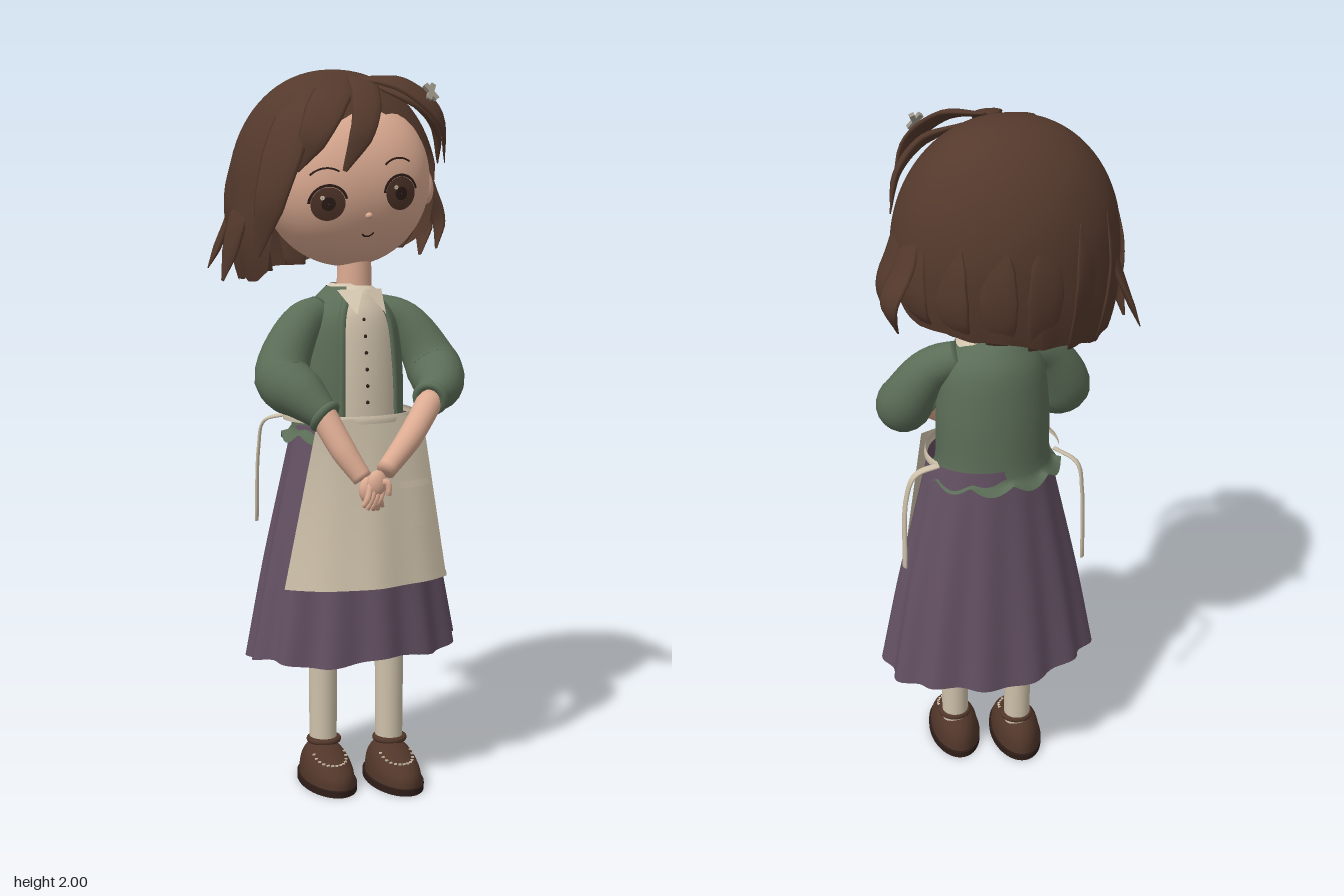
import * as THREE from 'three';
import { mergeVertices } from 'three/addons/utils/BufferGeometryUtils.js';

const mat = (name, color) => new THREE.MeshStandardMaterial({ name, color, side: THREE.DoubleSide });
const V = (p) => new THREE.Vector3(...p);
const { sin, cos, PI, sqrt, abs, min, max } = Math;
const lerp = THREE.MathUtils.lerp;

// Smooth surface from a rule f(u, v) -> [x, y, z]
function grid(f, nu, nv) {
  const pos = [], idx = [];
  for (let j = 0; j <= nv; j++) for (let i = 0; i <= nu; i++) pos.push(...f(i / nu, j / nv));
  for (let j = 0; j < nv; j++) for (let i = 0; i < nu; i++) {
    const a = j * (nu + 1) + i, b = a + nu + 1;
    idx.push(a, b, a + 1, b, b + 1, a + 1);
  }
  let g = new THREE.BufferGeometry();
  g.setAttribute('position', new THREE.Float32BufferAttribute(pos, 3));
  g.setIndex(idx);
  g = mergeVertices(g, 1e-5);
  g.computeVertexNormals();
  return g;
}

// Elliptical rings through rows [rx, y, rz], between two angles measured from the front
function loft(rows, cx, cz, a0 = -PI, a1 = PI, nu = 48, nv = 16, warp = () => [1, 0]) {
  const curve = new THREE.CatmullRomCurve3(rows.map(V));
  return grid((u, v) => {
    const a = lerp(a0, a1, u), p = curve.getPoint(v), [k, dy] = warp(a, v);
    return [cx + p.x * k * sin(a), p.y + dy, cz + p.z * k * cos(a)];
  }, nu, nv);
}

// Capped tube of varying width along a curve; flat < 1 makes a ribbon facing away from the centre
function tube(points, widths, flat = 1, centre = [0, 1.2, -0.05], nu = 12, nv = 18) {
  const curve = new THREE.CatmullRomCurve3(points.map(V)), c = V(centre);
  return grid((u, v) => {
    const t = min(1, max(0, (v * nv - 1) / (nv - 2)));
    const p = curve.getPoint(t), d = curve.getTangent(t);
    const out = p.clone().sub(c);
    out.addScaledVector(d, -out.dot(d)).normalize();
    const side = out.clone().cross(d);
    const k = t * (widths.length - 1), i = min(widths.length - 2, k | 0);
    const w = v === 0 || v === 1 ? 0 : lerp(widths[i], widths[i + 1], k - i), a = u * 2 * PI;
    return p.addScaledVector(out, w * flat * cos(a)).addScaledVector(side, w * sin(a)).toArray();
  }, nu, nv);
}

export function createModel() {
  const hair = mat('hair brown', 0x54392c), skin = mat('skin', 0xdcab92), green = mat('cardigan green', 0x5b6d57),
    purple = mat('skirt purple', 0x635062), cream = mat('apron cream', 0xcec1aa), ivory = mat('blouse ivory', 0xd4c6af),
    brown = mat('shoe brown', 0x51362a), dark = mat('dark brown', 0x2e1d18), grey = mat('pin grey', 0x9a9488);
  const root = new THREE.Group();
  const add = (name, geo, m, parent = root) => {
    const mesh = new THREE.Mesh(geo, m);
    mesh.name = name;
    parent.add(mesh);
    return mesh;
  };
  const ball = (x, y, z) => new THREE.SphereGeometry(1, 32, 24).scale(x, y, z);

  // Head, tilted and turned a little, with a broad front
  const head = new THREE.Group();
  head.name = 'head';
  head.position.set(0.006, 1.705, -0.045);
  head.rotation.set(0, -0.2, 0.14);
  root.add(head);
  const F = [0.228, 0.24, 0.208], P = 2.6;
  add('face', grid((u, v) => {
    const a = lerp(-PI, PI, u), t = v * PI, s = sin(a), c = cos(a);
    const r = sin(t) * (abs(s) ** P + abs(c) ** P) ** (-1 / P);
    return [F[0] * r * s, F[1] * cos(t), F[2] * r * c];
  }, 56, 32), skin, head);
  const decal = (name, ring, x, y, off, m) => {
    const g = new THREE.RingGeometry(...ring).translate(x, y, 0), p = g.attributes.position;
    for (let i = 0; i < p.count; i++) {
      const r = sqrt(1 - (p.getY(i) / F[1]) ** 2);
      p.setZ(i, F[2] * (r ** P - abs(p.getX(i) / F[0]) ** P) ** (1 / P) + off);
    }
    g.computeVertexNormals();
    add(name, g, m, head);
  };
  for (const s of [-1, 1]) {
    const x = s * 0.101 - 0.01, y = -0.054;
    decal('iris', [0.001, 0.044, 28, 4], x, y, 0.003, brown);
    decal('pupil', [0.001, 0.018, 24, 3], x, y, 0.005, dark);
    decal('eyeGlint', [0.001, 0.006, 12, 1], x - 0.015, y + 0.018, 0.007, ivory);
    decal('upperLash', [0.045, 0.052, 20, 1, 0.05 * PI, 0.9 * PI], x, y, 0.004, dark);
    decal('eyebrow', [0.056, 0.061, 14, 1, 0.28 * PI, 0.44 * PI], x, y + 0.035, 0.003, dark);
    add('ear', ball(0.024, 0.052, 0.036), skin, head).position.set(s * 0.226, -0.05, 0.01);
  }
  decal('mouth', [0.018, 0.022, 12, 1, 1.2 * PI, 0.6 * PI], -0.006, -0.135, 0.003, dark);
  add('nose', ball(0.01, 0.009, 0.011), skin, head).position.set(-0.004, -0.1, 0.19);
  add('neck', new THREE.CylinderGeometry(0.046, 0.05, 0.18, 24), skin).position.set(0.024, 1.44, -0.02);

  // Bobbed hair: a cap whose lower edge rises around the face and is shorter on the left
  const edge = [[-3.15, 1.46], [-2.4, 1.43], [-1.3, 1.43], [-1.08, 1.46], [-0.86, 1.71], [-0.5, 1.83], [0, 1.9],
    [0.5, 1.84], [1, 1.76], [1.32, 1.72], [1.45, 1.55], [1.9, 1.51], [2.6, 1.49], [3.15, 1.46]];
  const edgeY = (a) => {
    const i = max(1, edge.findIndex((e) => e[0] >= a)), [p, q] = [edge[i - 1], edge[i]];
    return lerp(p[1], q[1], (a - p[0]) / (q[0] - p[0]));
  };
  add('hairCap', grid((u, v) => {
    const a = lerp(-PI, PI, u), y = edgeY(a) + (abs(a) > 1.5 ? 0.01 * abs(sin(5 * a)) : 0);
    const end = y > 1.67 ? Math.acos((y - 1.67) / 0.33) : PI / 2 + (1.67 - y) / 0.33;
    const t = v * end, low = max(0, t - PI / 2);
    const r = (low ? 1 - 0.2 * (low / 0.85) ** 2.5 : sin(t) ** 0.93) * (1 + 0.014 * low * cos(18 * a));
    return [-0.008 - 0.02 * low + 0.302 * r * sin(a), low ? 1.67 - 0.33 * low : 1.67 + 0.33 * cos(t), -0.078 + 0.242 * r * cos(a)];
  }, 132, 30), hair);
  const hc = [0, 1.7, -0.08];
  const locks = [
    [0.04, [-0.02, 1.97, 0.05], [-0.05, 1.93, 0.17], [-0.09, 1.83, 0.235], [-0.135, 1.72, 0.215]],
    [0.052, [-0.05, 1.96, 0.05], [-0.14, 1.91, 0.15], [-0.205, 1.82, 0.19], [-0.24, 1.72, 0.15]],
    [0.058, [-0.15, 1.93, 0.05], [-0.24, 1.83, 0.12], [-0.305, 1.67, 0.14], [-0.325, 1.5, 0.09]],
    [0.045, [0, 1.97, 0.05], [0.08, 1.95, 0.14], [0.17, 1.87, 0.18], [0.235, 1.75, 0.11]],
    [0.05, [0.06, 1.95, 0.05], [0.16, 1.91, 0.08], [0.235, 1.84, 0.06], [0.268, 1.75, 0.02]],
    [0.04, [0.26, 1.8, -0.09], [0.295, 1.68, -0.07], [0.325, 1.59, -0.06], [0.31, 1.51, -0.05]],
    [0.045, [0.25, 1.78, -0.14], [0.295, 1.66, -0.15], [0.335, 1.58, -0.16], [0.305, 1.49, -0.13]],
    [0.045, [-0.27, 1.72, -0.06], [-0.31, 1.58, -0.07], [-0.335, 1.43, -0.11]],
    [0.045, [-0.23, 1.72, -0.19], [-0.28, 1.57, -0.21], [-0.315, 1.46, -0.25]],
  ];
  for (const [w, ...pts] of locks) add('hairLock', tube(pts, [w * 0.4, w, w, w * 0.75, 0.006], 0.25, hc), hair);
  for (let i = 0; i < 7; i++) { // shallow locks down the back
    const a = 1.95 + i * 0.41, low = edgeY(a > PI ? a - 2 * PI : a) + 0.004;
    const at = (y, k) => [-0.01 + 0.302 * k * sin(a), y, -0.078 + 0.242 * k * cos(a)];
    add('backLock', tube([at(1.78, 0.93), at(1.66, 0.995), at(1.56, 0.97), at(low, 0.87)],
      [0.015, 0.042, 0.05, 0.044, 0.034], 0.16, hc), hair);
  }
  // Hairpin
  for (const r of [-0.5, 0.6]) {
    const pin = add('hairpin', new THREE.BoxGeometry(0.014, 0.05, 0.012), grey);
    pin.position.set(0.145, 1.93, 0.18);
    pin.rotation.set(-0.4, 0, r);
  }

  // Blouse with buttons
  const body = [[0.05, 1.42, 0.05], [0.085, 1.385, 0.08], [0.125, 1.33, 0.108], [0.145, 1.2, 0.124], [0.152, 1.03, 0.13]];
  add('blouse', loft(body, 0.01, -0.03), ivory);
  for (let i = 0; i < 6; i++)
    add('button', ball(0.005, 0.005, 0.005), dark).position.set(0, 1.1 + i * 0.045, 0.1 - 0.0009 * i * i);
  // Cardigan, open at the front with a scalloped hem
  const knit = body.map(([x, y, z]) => [x + 0.012, y - 0.008, z + 0.012]).concat([[0.182, 0.985, 0.152]]);
  add('cardigan', loft(knit, 0.01, -0.03, 0.56, 2 * PI - 0.56, 100, 24, (a, v) => {
    const t = max(0, v - 0.8) / 0.2;
    return [1 + 0.07 * t * min(1, 1 - cos(a)), 0.028 * t * (1 - abs(sin(5 * a)))];
  }), green);
  for (const s of [-1, 1])
    add('cardiganEdge', tube([[0.01 + s * 0.087, 1.04, 0.092], [0.01 + s * 0.083, 1.2, 0.086],
      [0.01 + s * 0.072, 1.33, 0.07], [0.01 + s * 0.05, 1.38, 0.05]], [0.01, 0.01], 0.6, [0, 1.2, -0.1], 8), green);
  // Collar
  add('collar', loft([[0.053, 1.415, 0.053], [0.072, 1.4, 0.072], [0.09, 1.377, 0.085]], 0.018, -0.025, -PI, PI, 40, 6), ivory);
  for (const s of [-1, 1]) add('collarPoint', grid((u, v) =>
    [0.012 + s * lerp(lerp(0.003, 0.07, u), 0.045, v), lerp(1.405, 1.34, v), lerp(lerp(0.055, 0.03, u), 0.1, v)], 4, 6), ivory);

  // Skirt with soft folds
  add('skirt', loft([[0.17, 1.05, 0.142], [0.2, 0.92, 0.155], [0.262, 0.65, 0.184], [0.312, 0.385, 0.212]], 0.022, -0.027,
    -PI, PI, 132, 22, (a, v) => [1 + 0.038 * v * cos(13 * a + 0.6), 0.008 * v * v * cos(5 * a) + 0.006 * v * cos(a)]), purple);
  // Apron, swept back on its right side, with pocket, waistband and ties
  const apronAt = (u, v, off) => [lerp(0.01, -0.018, v) + u * lerp(0.165, 0.236, v), 1.06 - 0.455 * v,
    -0.025 + off + lerp(0.152, 0.234, v) * sqrt(1 - (0.58 * u) ** 2) + 0.003 * v * cos(9 * u) - 0.07 * v * max(0, -u) ** 2];
  const patch = (u0, u1, v0, v1, off) => grid((u, v) => apronAt(lerp(u0, u1, u), lerp(v0, v1, v), off), 20, 14);
  add('apron', patch(-1, 1, 0, 1, 0), cream);
  add('apronHem', patch(-1, 1, 0.965, 1, 0.004), cream);
  add('pocket', patch(0.33, 0.86, 0.38, 0.66, 0.009), cream);
  add('pocketHem', patch(0.32, 0.87, 0.385, 0.425, 0.014), ivory);
  add('waistband', loft([[0.186, 1.066, 0.16], [0.19, 1.056, 0.164], [0.19, 1.045, 0.164]], 0.012, -0.03, -1.9, 1.9, 48, 3), cream);
  const ties = [[[0.185, 1.055, -0.08], [0.25, 1.035, -0.075], [0.275, 0.95, -0.06], [0.28, 0.73, -0.05]],
    [[-0.145, 1.055, -0.1], [-0.19, 1.03, -0.16], [-0.2, 0.95, -0.175], [-0.2, 0.74, -0.19]]];
  for (const t of ties) add('apronTie', tube(t, [0.01, 0.01, 0.011], 0.45, [0, 0.9, 0], 8), cream);

  // Puffed sleeves, cuffs, forearms and clasped hands
  const arms = [
    { sleeve: [[0.1, 1.345, -0.03], [0.175, 1.305, 0.005], [0.23, 1.185, 0.065], [0.2, 1.14, 0.145], [0.135, 1.115, 0.205]],
      arm: [[0.15, 1.115, 0.19], [0.04, 1.02, 0.255], [-0.05, 0.94, 0.28]], hand: [-0.075, 0.91, 0.282], tip: [-0.1, 0.84, 0.285] },
    { sleeve: [[-0.08, 1.345, -0.03], [-0.155, 1.305, -0.005], [-0.226, 1.175, 0.035], [-0.2, 1.13, 0.1], [-0.165, 1.08, 0.16]],
      arm: [[-0.17, 1.09, 0.15], [-0.135, 0.99, 0.21], [-0.1, 0.92, 0.25]], hand: [-0.085, 0.89, 0.255], tip: [-0.06, 0.83, 0.25] },
  ];
  for (const { sleeve, arm, hand, tip } of arms) {
    add('sleeve', tube(sleeve, [0.045, 0.053, 0.058, 0.068, 0.078, 0.076, 0.067, 0.054, 0.042], 1, [0, 1.1, 0.05], 20, 28), green);
    const d = V(sleeve[4]).sub(V(sleeve[3])).normalize();
    const cuff = add('cuff', new THREE.TorusGeometry(0.038, 0.012, 10, 24), green);
    cuff.position.set(...sleeve[4]);
    cuff.quaternion.setFromUnitVectors(new THREE.Vector3(0, 0, 1), d);
    add('forearm', tube(arm, [0.037, 0.034, 0.026], 1, [0, 1.1, 0], 16), skin);
    add('palm', ball(0.028, 0.036, 0.02), skin).position.set(...hand);
    for (let i = 0; i < 4; i++) {
      const k = (i - 1.5) * 0.013, mid = V(hand).lerp(V(tip), 0.5);
      add('finger', tube([[hand[0] + k, hand[1], hand[2]], [mid.x + k, mid.y, mid.z + 0.006],
        [tip[0] + k, tip[1] + abs(k) * 0.6, tip[2]]], [0.009, 0.009, 0.006], 1, [0, 0.9, 0], 8, 8), skin);
    }
    add('thumb', tube([hand, [hand[0] + 0.02, hand[1] + 0.005, hand[2] + 0.02], [hand[0] + 0.022, hand[1] - 0.03, hand[2] + 0.024]],
      [0.011, 0.01, 0.007], 1, [0, 0.9, 0], 8, 8), skin);
  }

  // Stockinged legs and stitched shoes
  for (const [x, z] of [[-0.064, -0.045], [0.108, 0.035]]) {
    add('leg', new THREE.CylinderGeometry(0.043, 0.039, 0.62, 24), cream).position.set(x, 0.4, z);
    const foot = new THREE.Group();
    foot.name = 'foot';
    foot.position.set(x - 0.012, 0, z + 0.045);
    foot.rotation.y = -0.15;
    root.add(foot);
    const upper = ball(0.07, 1, 0.132), p = upper.attributes.position;
    const height = (zz) => lerp(0.106, 0.068, THREE.MathUtils.smoothstep(zz, -0.05, 0.1));
    for (let i = 0; i < p.count; i++) p.setY(i, 0.016 + max(0, p.getY(i)) ** 0.75 * height(p.getZ(i)));
    upper.computeVertexNormals();
    add('shoe', upper, brown, foot);
    const sole = new THREE.Shape().absellipse(0, 0, 0.076, 0.14, 0, 2 * PI);
    add('sole', new THREE.ExtrudeGeometry(sole, { depth: 0.018, bevelEnabled: false, curveSegments: 32 })
      .rotateX(-PI / 2), dark, foot);
    add('shoeCollar', new THREE.TorusGeometry(0.041, 0.009, 10, 28).rotateX(PI / 2), brown, foot).position.set(0.006, 0.114, -0.042);
    for (let i = 0; i < 13; i++) {
      const a = lerp(-1.6, 1.6, i / 12), sx = 0.045 * sin(a), sz = 0.02 + 0.065 * cos(a);
      const sy = 0.018 + height(sz) * (1 - (sx / 0.07) ** 2 - (sz / 0.132) ** 2) ** 0.375;
      add('stitch', new THREE.BoxGeometry(0.008, 0.004, 0.004), ivory, foot).position.set(sx, sy, sz);
    }
  }
  return root;
}
